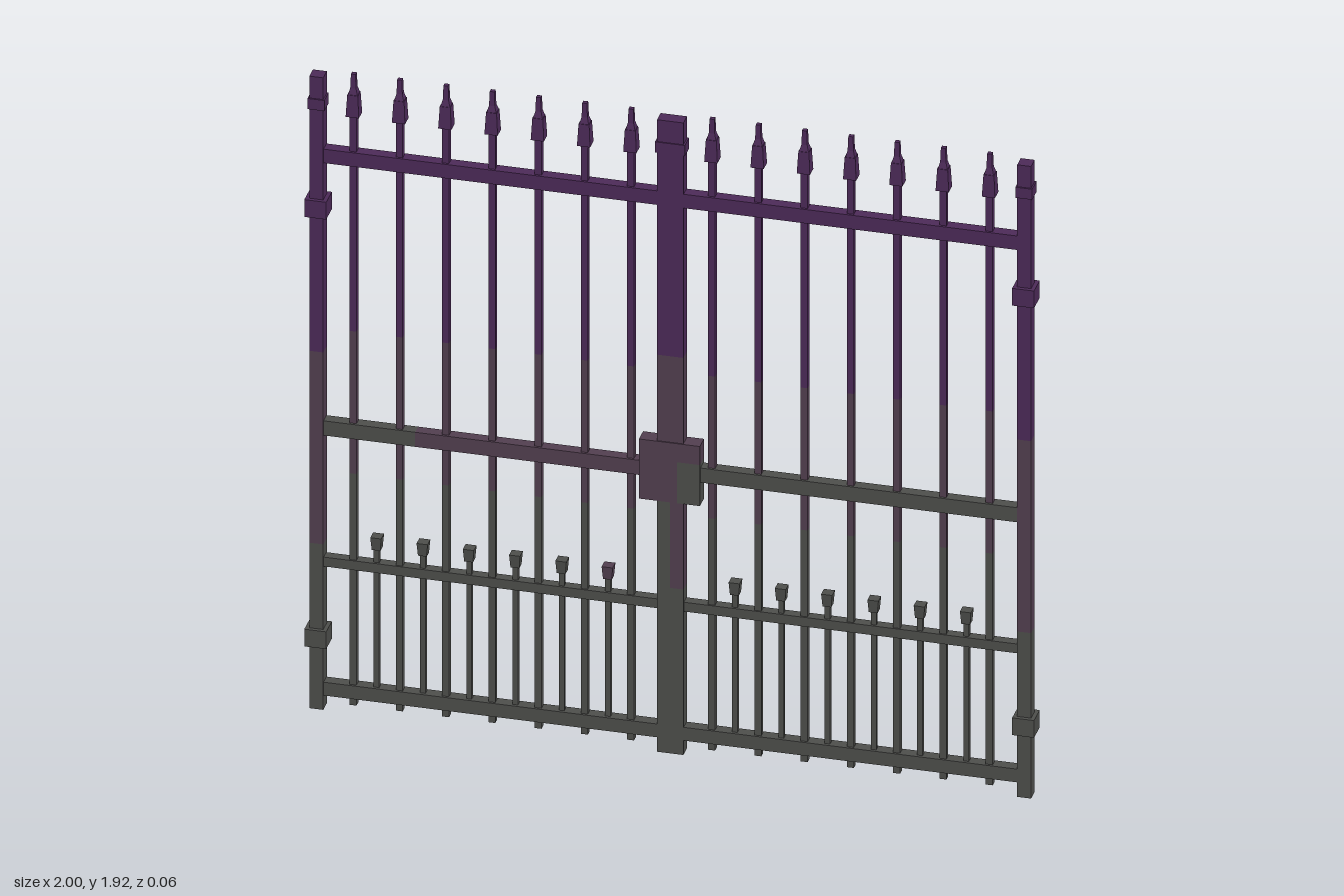
import * as THREE from 'three';

const material = (name, color) => {
  const m = new THREE.MeshStandardMaterial({ color });
  m.name = name;
  return m;
};

export function createModel() {
  const gate = new THREE.Group();
  gate.name = 'gate';
  const purple = material('deep purple', 0x4c2a58);
  const plum = material('faded plum', 0x523f50);
  const grey = material('iron grey', 0x4d4e4b);

  // Box given by its centre and size
  const box = (parent, name, mat, x, y, w, h, d, z = 0) => {
    const mesh = new THREE.Mesh(new THREE.BoxGeometry(w, h, d), mat);
    mesh.name = name;
    mesh.position.set(x, y, z);
    parent.add(mesh);
  };

  // Upright bar, cut into grey, plum and purple lengths
  const upright = (parent, name, x, bottom, top, w, d, plumFrom, purpleFrom) => {
    const cuts = [bottom, plumFrom, purpleFrom, top];
    [grey, plum, purple].forEach((mat, i) =>
      box(parent, name, mat, x, (cuts[i] + cuts[i + 1]) / 2, w, cuts[i + 1] - cuts[i], d));
  };

  // Four-sided tapering block, widths measured across the flats
  const taper = (parent, name, mat, x, bottom, top, wBottom, wTop) => {
    const geo = new THREE.CylinderGeometry(wTop / Math.SQRT2, wBottom / Math.SQRT2, top - bottom, 4, 1);
    geo.rotateY(Math.PI / 4);
    const flat = geo.toNonIndexed();
    flat.computeVertexNormals();
    const mesh = new THREE.Mesh(flat, mat);
    mesh.name = name;
    mesh.position.set(x, (bottom + top) / 2, 0);
    parent.add(mesh);
  };

  for (const side of [-1, 1]) {
    const leaf = new THREE.Group();
    leaf.name = side > 0 ? 'leftLeaf' : 'rightLeaf';
    gate.add(leaf);

    // Hinge post with collar and two hinge blocks
    upright(leaf, 'hingePost', side * 0.97, 0, 1.91, 0.038, 0.038, 0.5, 1.08);
    box(leaf, 'postCollar', purple, side * 0.97, 1.828, 0.046, 0.032, 0.046);
    box(leaf, 'upperHinge', purple, side * 0.97, 1.515, 0.06, 0.052, 0.06);
    box(leaf, 'lowerHinge', grey, side * 0.97, 0.217, 0.06, 0.052, 0.06);

    // Meeting post
    upright(leaf, 'meetingPost', side * 0.018, 0, 1.91, 0.036, 0.038, side > 0 ? 0.5 : 0.85, 1.2);
    box(leaf, 'postCollar', purple, side * 0.02, 1.828, 0.042, 0.032, 0.044);

    // Rails
    const rail = (name, mat, y, h, d, from = 0.03, to = 0.955) =>
      box(leaf, name, mat, side * (from + to) / 2, y, to - from, h, d);
    rail('topRail', purple, 1.672, 0.042, 0.032);
    if (side > 0) rail('middleRail', grey, 0.85, 0.044, 0.032);
    else {
      rail('middleRail', plum, 0.85, 0.044, 0.032, 0.03, 0.7);
      rail('middleRail', grey, 0.85, 0.044, 0.032, 0.7, 0.955);
    }
    rail('lowerRail', grey, 0.445, 0.028, 0.028);
    rail('bottomRail', grey, 0.062, 0.04, 0.032);

    // Tall bars with spear tips
    for (let i = 0; i < 7; i++) {
      const x = side * (0.111 + i * 0.1268);
      upright(leaf, 'tallBar', x, 0.02, 1.8, 0.019, 0.019, 0.72, 1.15);
      taper(leaf, 'spearBase', purple, x, 1.8, 1.865, 0.036, 0.029);
      taper(leaf, 'spearShoulder', purple, x, 1.865, 1.883, 0.026, 0.016);
      taper(leaf, 'spearTip', purple, x, 1.883, 1.925, 0.016, 0.013);
    }

    // Short bars with square caps
    for (let i = 0; i < 6; i++) {
      const x = side * (0.174 + i * 0.1268);
      const capMat = side < 0 && i === 0 ? plum : grey;
      box(leaf, 'shortBar', grey, x, 0.28, 0.015, 0.44, 0.015);
      taper(leaf, 'shortBarCap', capMat, x, 0.498, 0.536, 0.024, 0.03);
    }
  }

  // Lock plates on the meeting posts
  box(gate, 'rightLockPlate', plum, -0.0425, 0.85, 0.085, 0.18, 0.044);
  box(gate, 'leftLockPlateUpper', plum, 0.041, 0.912, 0.082, 0.056, 0.044);
  box(gate, 'leftLockPlateInner', plum, 0.01, 0.822, 0.02, 0.124, 0.044);
  box(gate, 'leftLockPlateLower', grey, 0.051, 0.822, 0.062, 0.124, 0.044);

  return gate;
}
